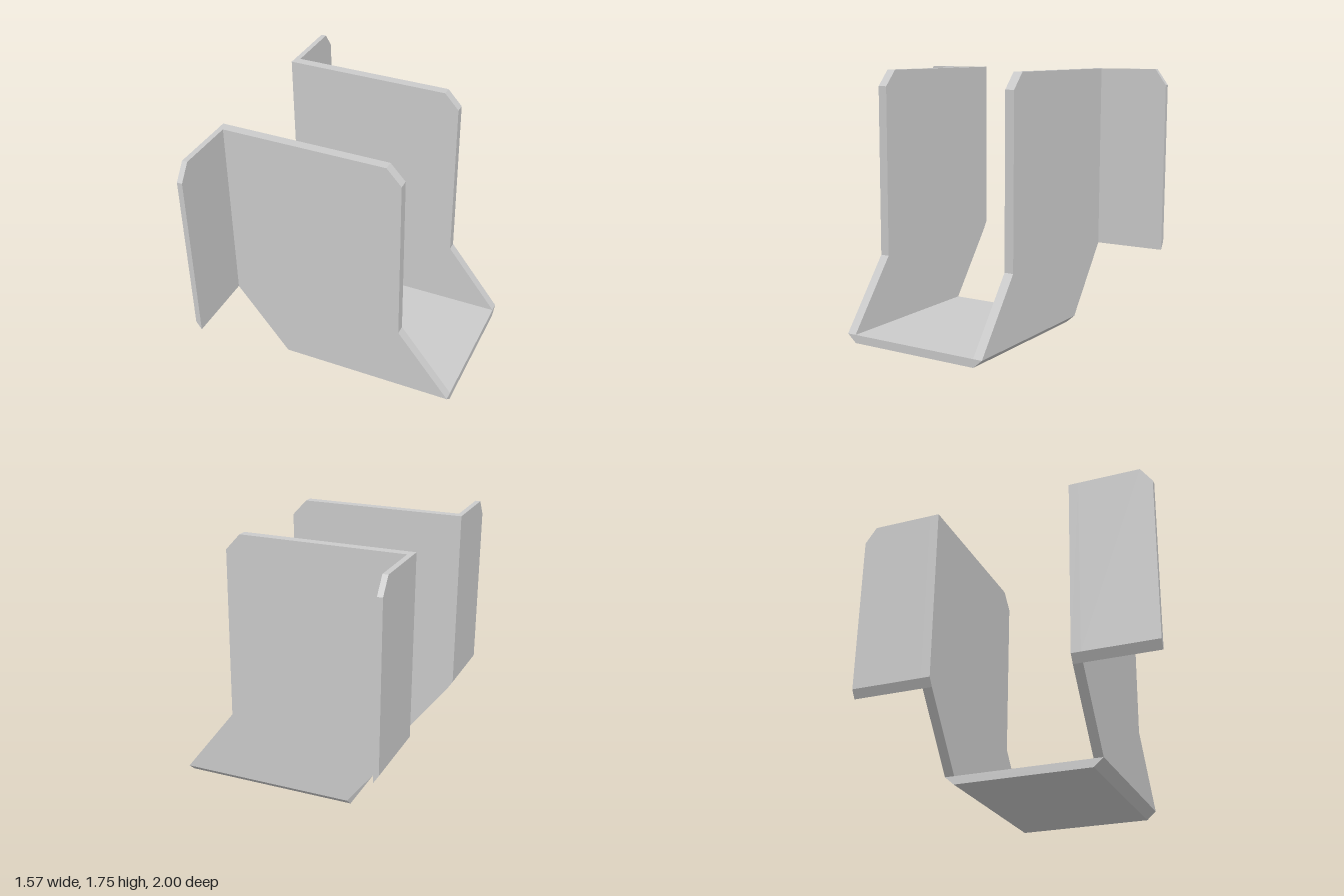
import * as THREE from 'three';

const material = new THREE.MeshStandardMaterial({ color: 0xcccccc, flatShading: true });

function extrude(points, depth) {
  const shape = new THREE.Shape(points.map(([a, b]) => new THREE.Vector2(a, b)));
  return new THREE.ExtrudeGeometry(shape, { depth, bevelEnabled: false });
}

function addMesh(group, name, geometry) {
  const mesh = new THREE.Mesh(geometry, material);
  mesh.name = name;
  group.add(mesh);
}

export function createModel() {
  const group = new THREE.Group();
  group.name = 'bracket';

  const back = -0.785, flangeInner = -0.75;
  const inner = 0.457, outer = 0.52;
  const floorTop = 0.055, bend = 0.515, top = 1.753;

  // floor plate with bevelled lower long edges
  const floor = extrude([[-inner, 0], [inner, 0], [outer, floorTop], [-outer, floorTop]], 1.18);
  floor.rotateY(Math.PI / 2).translate(-0.395, 0, 0);
  addMesh(group, 'floorPlate', floor);

  for (const side of [1, -1]) {
    const prefix = side > 0 ? 'front' : 'rear';

    // upright wall: slanted foot, one chamfered top corner
    const wall = extrude([
      [-0.395, floorTop], [0.785, floorTop], [0.43, bend], [0.43, 1.647],
      [0.333, top], [back, top], [back, 0.57], [flangeInner, bend],
    ], outer - inner);
    wall.translate(0, 0, side > 0 ? inner : -outer);
    addMesh(group, prefix + 'Wall', wall);

    // outward flange with a chamfered outer top corner
    const flange = extrude([
      [side * outer, bend], [side * 1, bend], [side * 1, 1.647],
      [side * 0.923, top], [side * outer, top],
    ], flangeInner - back);
    flange.rotateY(-Math.PI / 2).translate(flangeInner, 0, 0);

    // slope the flange's lower edge to follow the wall
    const p = flange.attributes.position;
    for (let i = 0; i < p.count; i++) {
      if (p.getX(i) < -0.77 && p.getY(i) < 0.53) p.setY(i, 0.57);
    }
    flange.computeVertexNormals();
    addMesh(group, prefix + 'Flange', flange);
  }
  return group;
}
